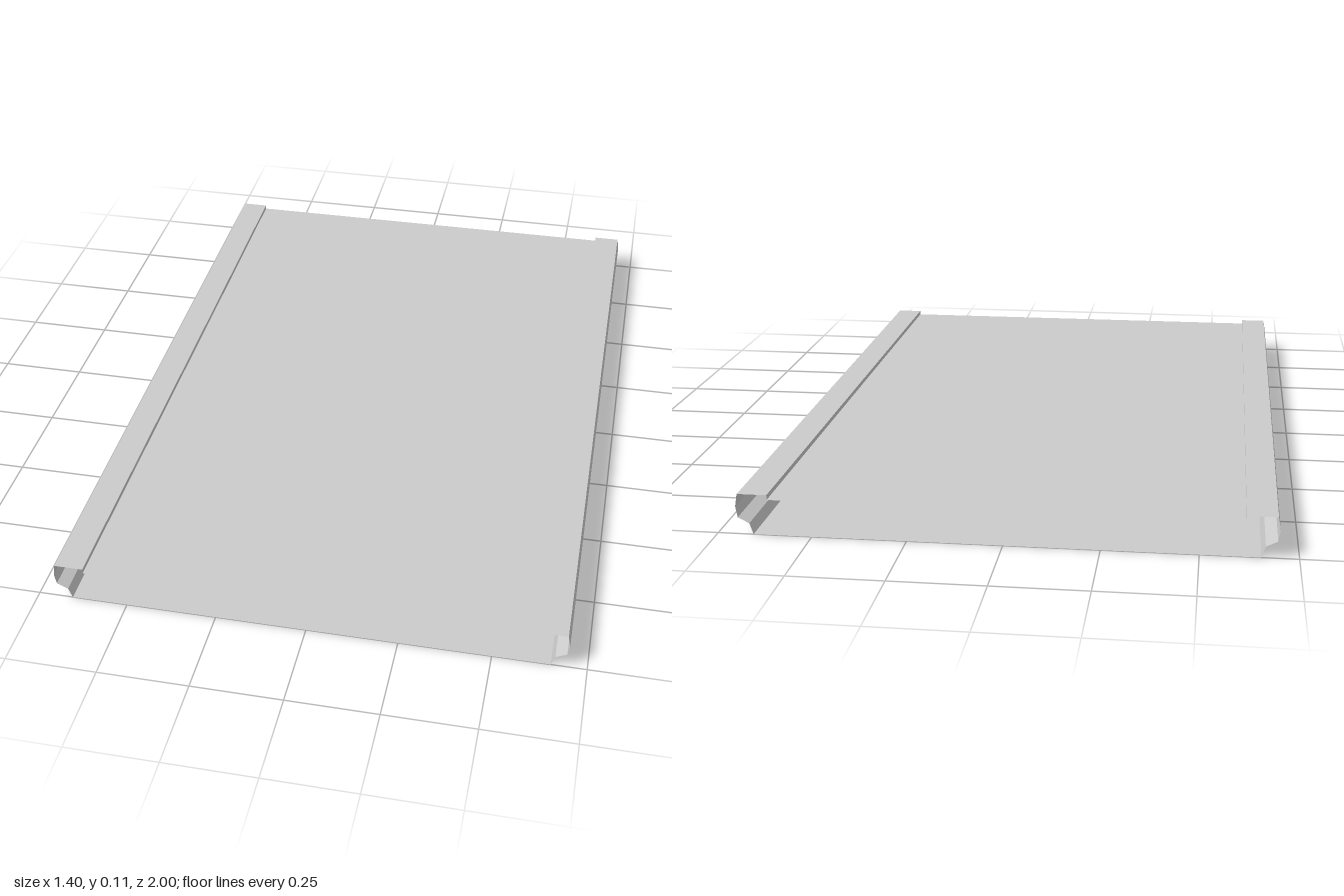
import * as THREE from 'three';

const HALF_LENGTH = 1;

// Sheet swept along z from an open cross-section; clockwise points face outward
function sheet(name, profile, material) {
  const positions = [];
  for (let i = 0; i < profile.length - 1; i++) {
    const [ax, ay] = profile[i];
    const [bx, by] = profile[i + 1];
    const a0 = [ax, ay, -HALF_LENGTH], a1 = [ax, ay, HALF_LENGTH];
    const b0 = [bx, by, -HALF_LENGTH], b1 = [bx, by, HALF_LENGTH];
    positions.push(...a0, ...a1, ...b0, ...b0, ...a1, ...b1);
  }
  const geometry = new THREE.BufferGeometry();
  geometry.setAttribute('position', new THREE.Float32BufferAttribute(positions, 3));
  geometry.computeVertexNormals();
  const mesh = new THREE.Mesh(geometry, material);
  mesh.name = name;
  return mesh;
}

export function createModel() {
  const group = new THREE.Group();
  group.name = 'openEndedPanel';
  const material = new THREE.MeshStandardMaterial({
    color: 0xcccccc, flatShading: true, side: THREE.DoubleSide,
  });

  // Raised rim, outer wall, undercut and foot of one long edge
  const edge = [
    [0.615, 0.097], [0.615, 0.11], [0.694, 0.11], [0.7, 0.075],
    [0.695, 0.045], [0.665, 0.03], [0.655, 0],
  ];
  const mirrored = edge.map(([x, y]) => [-x, y]).reverse();

  group.add(
    sheet('leftEdge', edge, material),
    sheet('rightEdge', mirrored, material),
    // Recessed top and flat underside
    sheet('topPanel', [[-0.615, 0.097], [0.615, 0.097]], material),
    sheet('bottomPanel', [[0.655, 0], [-0.655, 0]], material),
  );
  return group;
}
